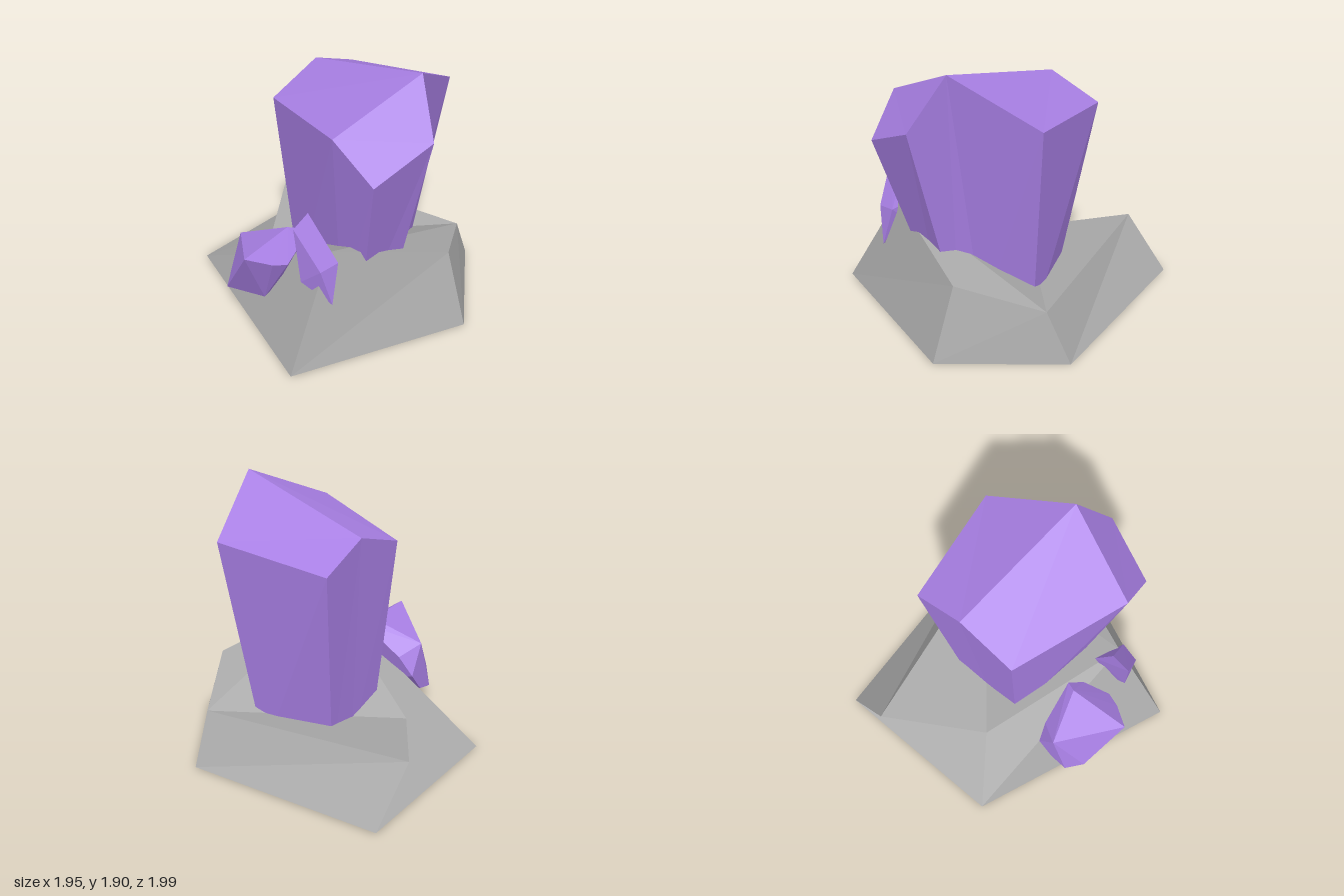
import * as THREE from 'three';
import { ConvexGeometry } from 'three/addons/geometries/ConvexGeometry.js';

const stone = new THREE.MeshStandardMaterial({ color: 0xa9a9a9 });
stone.name = 'grey stone';
const amethyst = new THREE.MeshStandardMaterial({ color: 0xa87fe4 });
amethyst.name = 'purple crystal';

// Flat-faced solid between two rings (counter-clockwise from above), closed by cap faces
function facetedPrism(bottom, top, caps) {
  const pos = [];
  const face = (pts) => {
    for (let i = 1; i < pts.length - 1; i++) pos.push(...pts[0], ...pts[i], ...pts[i + 1]);
  };
  bottom.forEach((b, i) => {
    const j = (i + 1) % bottom.length;
    face([b, bottom[j], top[j], top[i]]);
  });
  caps.forEach((cap) => face(cap.map((i) => top[i])));
  face([...bottom].reverse());
  const geo = new THREE.BufferGeometry();
  geo.setAttribute('position', new THREE.Float32BufferAttribute(pos, 3));
  geo.computeVertexNormals();
  return geo;
}

function hull(points) {
  return new ConvexGeometry(points.map((p) => new THREE.Vector3(...p)));
}

export function createModel() {
  const group = new THREE.Group();
  group.name = 'crystalCluster';
  const add = (name, geo, mat) => {
    const mesh = new THREE.Mesh(geo, mat);
    mesh.name = name;
    group.add(mesh);
  };

  // Rock: five-sided base with a sloping, folded top
  add('rockBase', facetedPrism(
    [[-0.41, 0.005, -0.98], [-0.98, 0.005, 0.46], [0.23, 0.005, 0.99], [0.97, 0.005, 0.46], [0.88, 0.005, -0.98]],
    [[-0.11, 0.235, -0.57], [-0.54, 0.76, 0.41], [0.26, 0.52, 0.8], [0.79, 0.36, 0.49], [0.54, 0.365, -1]],
    [[0, 1, 3], [1, 2, 3], [0, 3, 4]],
  ), stone);

  // Large crystal: flares upward, with three slanted top facets
  add('largeCrystal', facetedPrism(
    [[-0.13, 0, -0.26], [-0.2, 0, 0.22], [-0.18, 0, 0.38], [0.03, 0, 0.445],
      [0.17, 0, 0.36], [0.5, 0, 0.22], [0.35, 0, -0.26], [0.12, 0, -0.26]],
    [[-0.22, 1.5, -0.39], [-0.52, 1.6, 0.42], [-0.47, 1.34, 0.72], [-0.05, 1.54, 0.855],
      [0.1, 1.9, 0.63], [0.69, 1.59, 0.42], [0.59, 1.5, -0.39], [0.21, 1.65, -0.39]],
    [[0, 1, 4, 7], [1, 2, 3, 4], [7, 4, 5, 6]],
  ), amethyst);

  // Side crystal leaning out of the rock's slope
  add('sideCrystal', hull([
    [-0.92, 0.705, 0], [-0.48, 0.73, -0.03], [-0.41, 0.7, 0], [-0.48, 0.64, 0.09],
    [-0.67, 0.6, 0.15], [-0.77, 0.63, 0.11], [-0.59, 0.58, -0.385], [-0.82, 0.28, -0.3],
    [-0.72, 0.18, -0.39], [-0.59, 0.21, -0.39], [-0.47, 0.36, -0.39], [-0.44, 0.5, -0.29],
    [-0.7, 0.25, -0.05], [-0.5, 0.25, -0.1],
  ]), amethyst);

  // Small pointed shard on the rock's peak
  add('peakShard', hull([
    [-0.72, 0.96, 0.26], [-0.58, 1.02, 0.26], [-0.45, 0.75, 0.25], [-0.67, 0.68, 0.45],
    [-0.61, 0.41, 0.5], [-0.53, 0.7, 0.48], [-0.5, 0.62, 0.4], [-0.55, 0.45, 0.3], [-0.7, 0.55, 0.3],
  ]), amethyst);

  return group;
}
